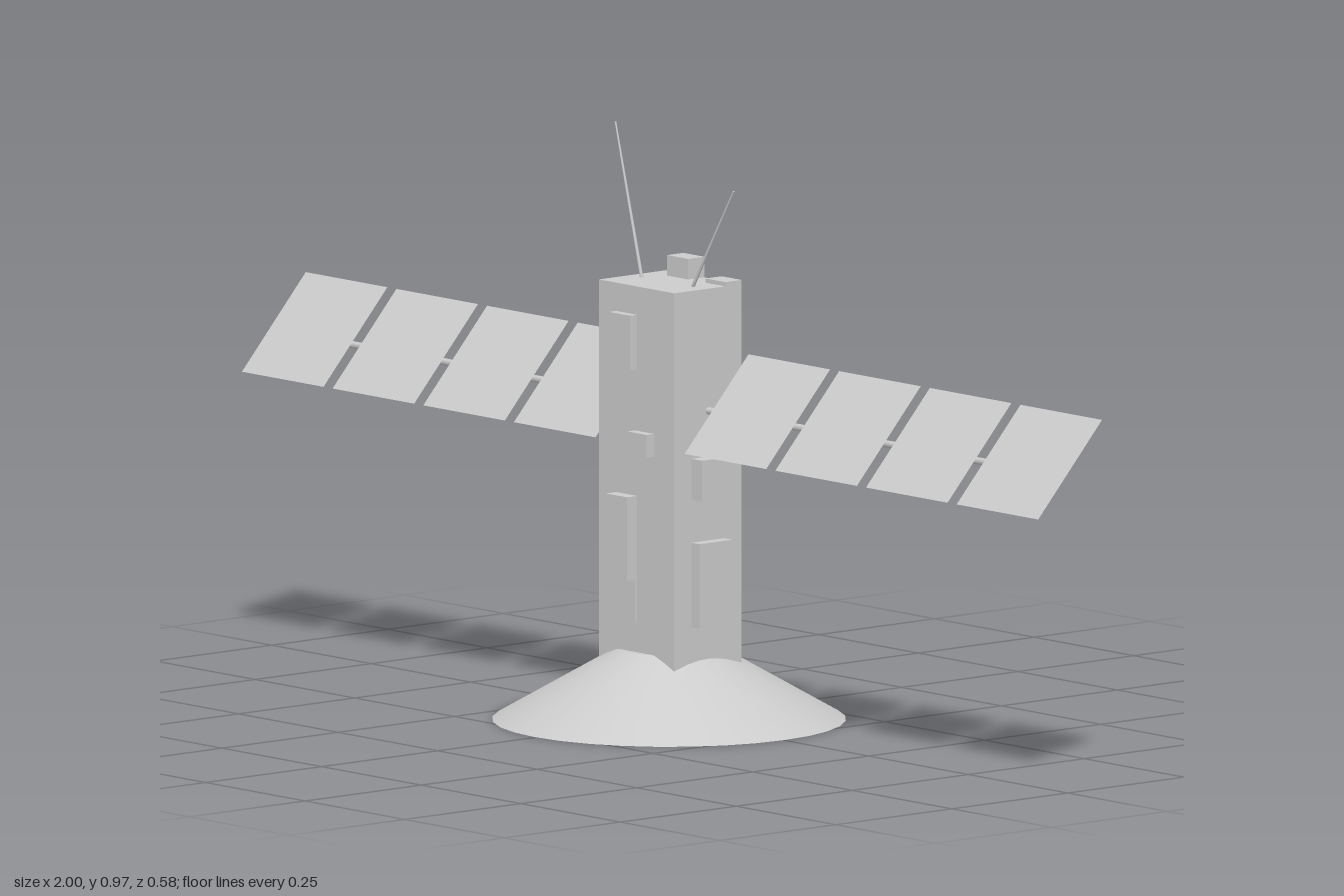
import * as THREE from 'three';

const mat = new THREE.MeshStandardMaterial({ color: 0xcccccc, flatShading: true });
const smooth = new THREE.MeshStandardMaterial({ color: 0xcccccc });
const sheet = new THREE.MeshStandardMaterial({ color: 0xcccccc, side: THREE.DoubleSide });

export function createModel() {
  const model = new THREE.Group();
  const add = (name, geometry, material = mat) => {
    const mesh = new THREE.Mesh(geometry, material);
    mesh.name = name;
    model.add(mesh);
    return mesh;
  };
  // Box given by its extents along each axis
  const block = (name, [x0, x1], [y0, y1], [z0, z1]) =>
    add(name, new THREE.BoxGeometry(x1 - x0, y1 - y0, z1 - z0))
      .position.set((x0 + x1) / 2, (y0 + y1) / 2, (z0 + z1) / 2);
  // Thin rod between two points
  const rod = (name, a, b, r0, r1) => {
    const from = new THREE.Vector3(...a), to = new THREE.Vector3(...b);
    const dir = to.clone().sub(from);
    const mesh = add(name, new THREE.CylinderGeometry(r1, r0, dir.length(), 8), smooth);
    mesh.position.copy(from).add(to).multiplyScalar(0.5);
    mesh.quaternion.setFromUnitVectors(new THREE.Vector3(0, 1, 0), dir.normalize());
  };

  // Dish at the base, closed underneath
  add('dish', new THREE.CylinderGeometry(0.085, 0.29, 0.118, 32), smooth)
    .position.set(-0.004, 0.059, -0.002);

  // Main body
  const left = 0.093, right = -0.096, front = 0.07, back = -0.075, top = 0.724;
  block('body', [right, left], [0.09, top], [back, front]);

  // Equipment boxes on the front
  block('frontUpperBox', [-0.053, 0], [0.586, 0.677], [front, 0.085]);
  block('frontSmallBox', [-0.005, 0.043], [0.447, 0.485], [front, 0.087]);
  block('frontLowerBox', [-0.053, 0], [0.238, 0.377], [front, 0.092]);
  block('frontFin', [-0.003, 0], [0.167, 0.238], [front, 0.075]);

  // Equipment boxes on the sides
  const sideZ = [-0.038, 0.033];
  block('leftUpperBox', [left, 0.12], [0.378, 0.446], sideZ);
  block('leftLowerBox', [left, 0.113], [0.167, 0.307], sideZ);
  block('rightBox', [-0.115, right], [0.293, 0.445], sideZ);
  block('rightTab', [-0.115, right], [0.243, 0.293], [-0.01, 0.004]);

  // Equipment boxes on the back
  block('backUpperBox', [-0.05, 0.043], [0.378, 0.677], [-0.105, back]);
  block('backLowerBox', [-0.05, 0.043], [0.167, 0.307], [-0.092, back]);

  // Boxes on the roof
  block('roofBox', [-0.053, 0], [top, 0.758], [back, -0.04]);
  block('roofPlate', [0.043, left], [top, 0.731], [back, -0.04]);

  // Antennas
  rod('rightAntenna', [-0.067, 0.72, 0.002], [-0.134, 0.974, 0.002], 0.003, 0.0015);
  rod('leftAntenna', [0.058, 0.72, 0.002], [0.163, 0.894, 0.002], 0.003, 0.0015);

  // Solar wings: four tilted sheets per side on a boom running behind them
  const panelWidth = 0.205, pitch = 0.2277, inner = 0.112;
  for (const s of [1, -1]) {
    const side = s > 0 ? 'left' : 'right';
    rod(side + 'Boom', [s * 0.08, 0.522, -0.003], [s * 0.93, 0.522, -0.003], 0.006, 0.006);
    for (let i = 0; i < 4; i++) {
      const panel = add(side + 'SolarPanel' + (i + 1), new THREE.PlaneGeometry(panelWidth, 0.204), sheet);
      panel.position.set(s * (inner + panelWidth / 2 + i * pitch), 0.535, -0.005);
      panel.rotation.x = -0.74;
    }
  }
  return model;
}
